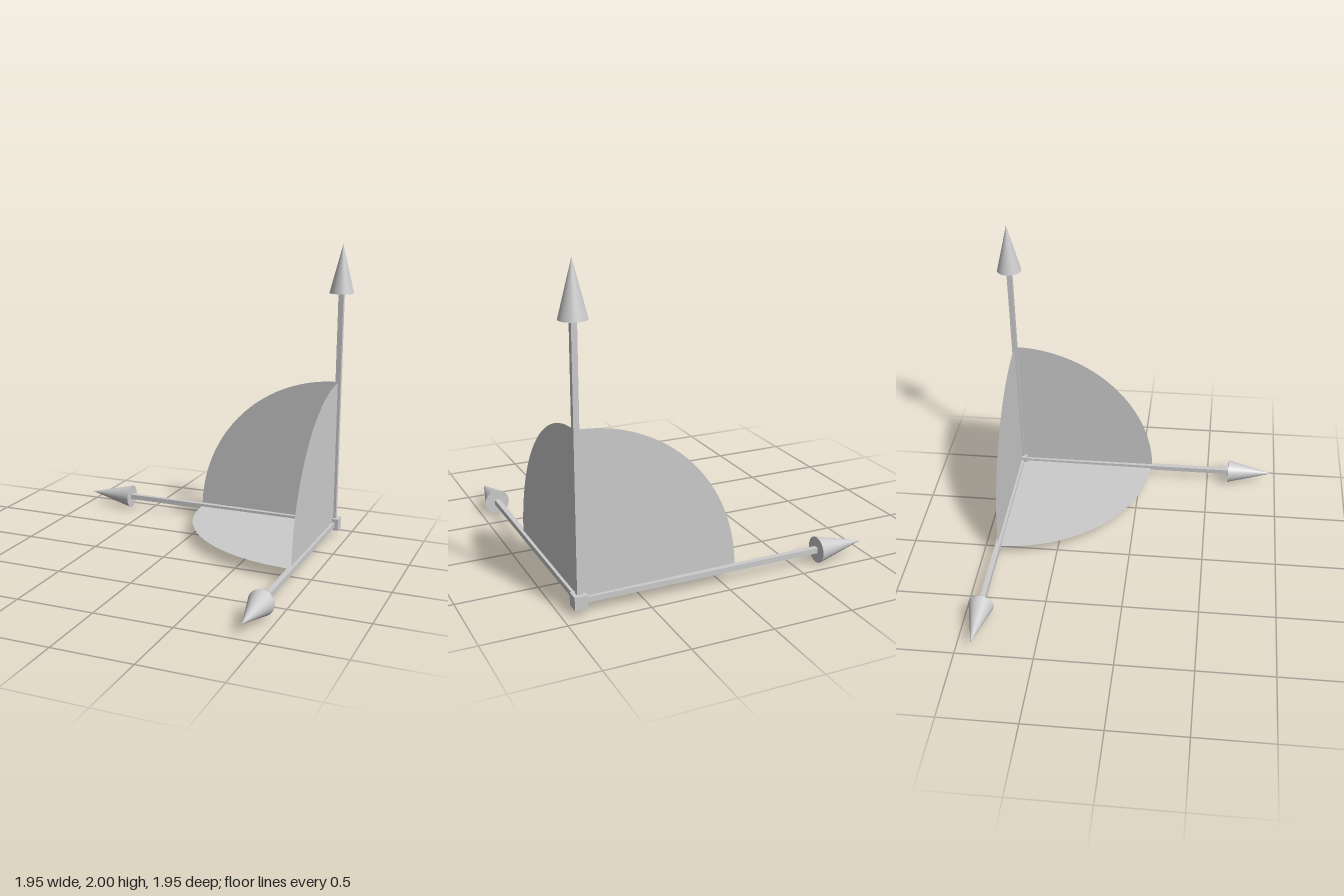
import * as THREE from 'three';

export function createModel() {
  const model = new THREE.Group();
  const grey = new THREE.MeshStandardMaterial({ color: 0xcccccc });
  const sheet = new THREE.MeshStandardMaterial({ color: 0xcccccc, side: THREE.DoubleSide });
  const X = new THREE.Vector3(-1, 0, 0);
  const Y = new THREE.Vector3(0, 1, 0);
  const Z = new THREE.Vector3(0, 0, 1);

  const add = (parent, name, geometry, material = grey) => {
    const mesh = new THREE.Mesh(geometry, material);
    mesh.name = name;
    parent.add(mesh);
    return mesh;
  };

  // All parts share the corner where the three axes meet
  model.position.set(0, 0, 0);
  const gizmo = new THREE.Group();
  gizmo.name = 'axisGizmo';
  gizmo.position.set(0.894, 0.083, -0.894);
  model.add(gizmo);

  add(gizmo, 'originCube', new THREE.BoxGeometry(0.08, 0.08, 0.08));

  // Arrow: square rod with a cone at its end
  const addArrow = (name, dir, length) => {
    const arrow = new THREE.Group();
    arrow.name = name;
    const head = 0.323, rod = length - head;
    add(arrow, 'rod', new THREE.BoxGeometry(0.034, rod, 0.034)).position.y = rod / 2;
    add(arrow, 'arrowhead', new THREE.ConeGeometry(0.081, head, 48)).position.y = rod + head / 2;
    arrow.quaternion.setFromUnitVectors(Y, dir);
    gizmo.add(arrow);
  };
  addArrow('sideArrow', X, 1.869);
  addArrow('upArrow', Y, 1.917);
  addArrow('frontArrow', Z, 1.869);

  // Quarter disc lying between two axes, with a hairline gap beside the rods
  const addQuarter = (name, u, v, ru, rv, startGap, endGap) => {
    const shape = new THREE.Shape();
    shape.moveTo(0.016, 0.018);
    const a0 = Math.asin(startGap / rv), a1 = Math.acos(endGap / ru), n = 48;
    for (let i = 0; i <= n; i++) {
      const a = a0 + (a1 - a0) * i / n;
      shape.lineTo(ru * Math.cos(a), rv * Math.sin(a));
    }
    shape.closePath();
    const basis = new THREE.Matrix4().makeBasis(u, v, u.clone().cross(v));
    add(gizmo, name, new THREE.ShapeGeometry(shape).applyMatrix4(basis), sheet);
  };
  addQuarter('backQuarterDisc', X, Y, 0.978, 0.995, 0.026, 0.016);
  addQuarter('sideQuarterDisc', Z, Y, 0.98, 0.99, 0.021, 0.019);
  addQuarter('floorQuarterDisc', X, Z, 0.978, 0.97, 0.018, 0.023);

  return model;
}
